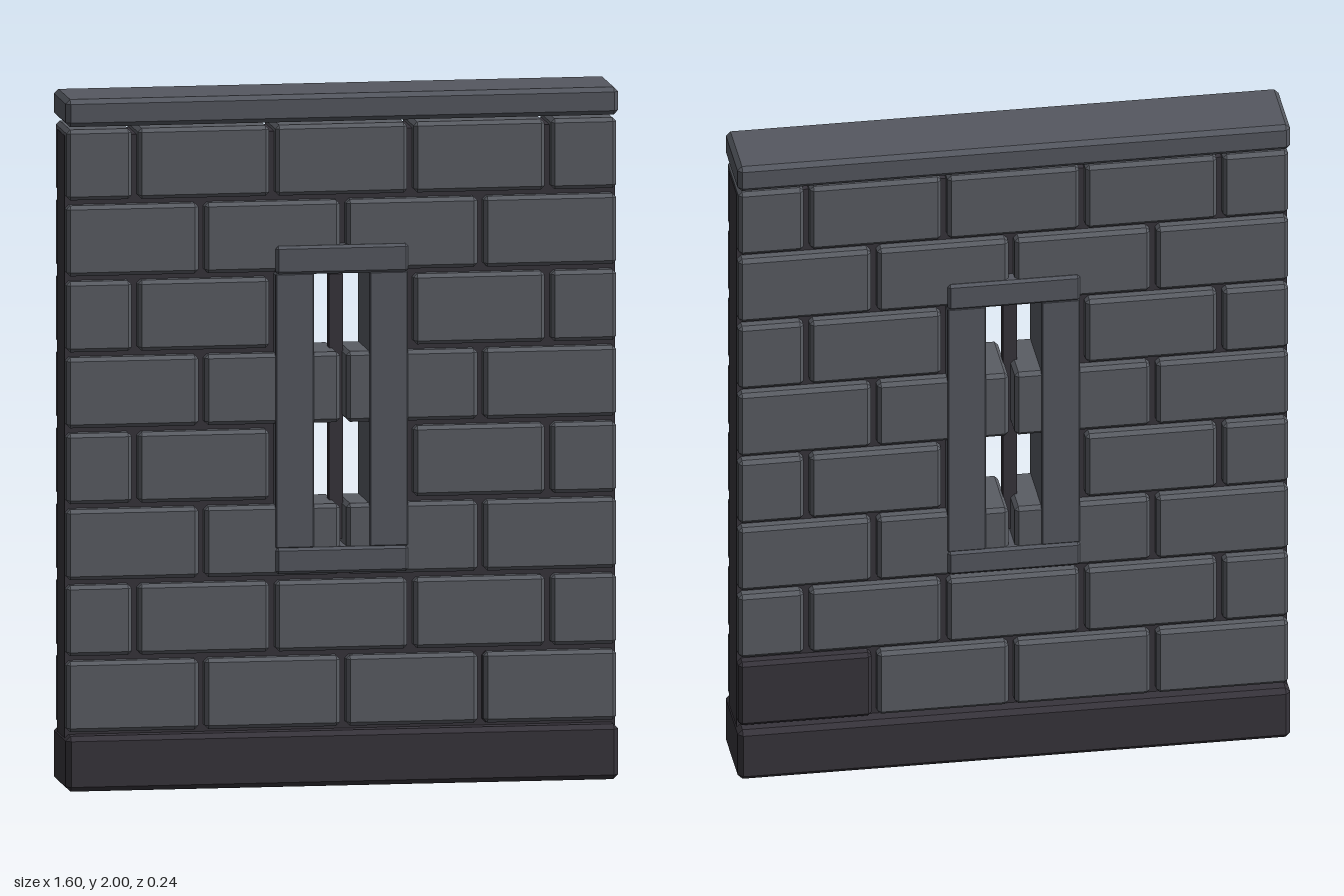
import * as THREE from 'three';
import { ConvexGeometry } from 'three/addons/geometries/ConvexGeometry.js';

const mat = (name, color) => Object.assign(new THREE.MeshStandardMaterial({ color }), { name });

// Box with every edge cut at 45 degrees, given by its extents
function chamferBox(x0, x1, y0, y1, z0, z1, c) {
  const h = [(x1 - x0) / 2, (y1 - y0) / 2, (z1 - z0) / 2];
  const pts = [];
  for (const sx of [-1, 1]) for (const sy of [-1, 1]) for (const sz of [-1, 1]) {
    for (let full = 0; full < 3; full++) {
      const p = h.map((v, i) => (i === full ? v : v - c));
      pts.push(new THREE.Vector3(sx * p[0], sy * p[1], sz * p[2]));
    }
  }
  return new ConvexGeometry(pts).translate((x0 + x1) / 2, (y0 + y1) / 2, (z0 + z1) / 2);
}

export function createModel() {
  const wall = new THREE.Group();
  wall.name = 'wall';
  const stone = mat('stone grey', 0x5a5d64);
  const trim = mat('trim grey', 0x555860);
  const dark = mat('dark mortar', 0x37343b);

  const add = (name, geometry, material, parent = wall) => {
    const mesh = new THREE.Mesh(geometry, material);
    mesh.name = name;
    parent.add(mesh);
    return mesh;
  };

  // Plinth and capstone
  add('plinth', chamferBox(-0.8, 0.8, 0, 0.16, -0.122, 0.122, 0.014), dark);
  add('capstone', chamferBox(-0.8, 0.8, 1.92, 2, -0.118, 0.118, 0.013), trim);

  // Mortar core with the window opening
  const core = new THREE.Shape();
  core.moveTo(-0.797, 0.15).lineTo(0.797, 0.15).lineTo(0.797, 1.89).lineTo(-0.797, 1.89).closePath();
  const hole = new THREE.Path();
  hole.moveTo(-0.1, 0.68).lineTo(-0.1, 1.49).lineTo(0.1, 1.49).lineTo(0.1, 0.68).closePath();
  core.holes.push(hole);
  const coreGeo = new THREE.ExtrudeGeometry(core, { depth: 0.14, bevelEnabled: false });
  add('mortarCore', coreGeo.translate(0, 0, -0.07), dark);

  // Eight courses of through stones in running bond
  const courses = new THREE.Group();
  courses.name = 'stoneCourses';
  wall.add(courses);
  const evenJoints = [-0.805, -0.405, 0.005, 0.403, 0.805];
  const oddJoints = [-0.805, -0.598, -0.2, 0.2, 0.598, 0.805];
  const gap = 0.009;
  for (let row = 0; row < 8; row++) {
    const joints = row % 2 ? oddJoints : evenJoints;
    const y0 = 0.17 + row * 0.2195, y1 = y0 + 0.204;
    for (let i = 0; i < joints.length - 1; i++) {
      // The window replaces the middle stone of these courses
      if ((row === 3 || row === 5) && i === 2) continue;
      const x0 = joints[i] + gap, x1 = joints[i + 1] - gap;
      const odd = row === 0 && i === 3;
      add('stone', chamferBox(x0, x1, y0, y1, odd ? -0.09 : -0.105, 0.105, 0.011), stone, courses);
      if (odd) add('darkStone', chamferBox(x0 - 0.002, x1, y0 - 0.002, y1, -0.106, 0.085, 0.011), dark, courses);
    }
  }

  // Window surround
  const frame = new THREE.Group();
  frame.name = 'windowFrame';
  wall.add(frame);
  add('lintel', chamferBox(-0.192, 0.192, 1.48, 1.562, -0.115, 0.115, 0.008), trim, frame);
  add('sill', chamferBox(-0.192, 0.192, 0.615, 0.69, -0.115, 0.115, 0.008), trim, frame);
  for (const s of [-1, 1]) {
    const x = s * 0.136;
    add('jamb', chamferBox(x - 0.056, x + 0.056, 0.688, 1.483, -0.11, 0.11, 0.004), trim, frame);
  }
  const bar = add('windowBar', new THREE.BoxGeometry(0.04, 0.765, 0.04), dark, frame);
  bar.position.set(-0.003, 1.083, 0);

  return wall;
}
